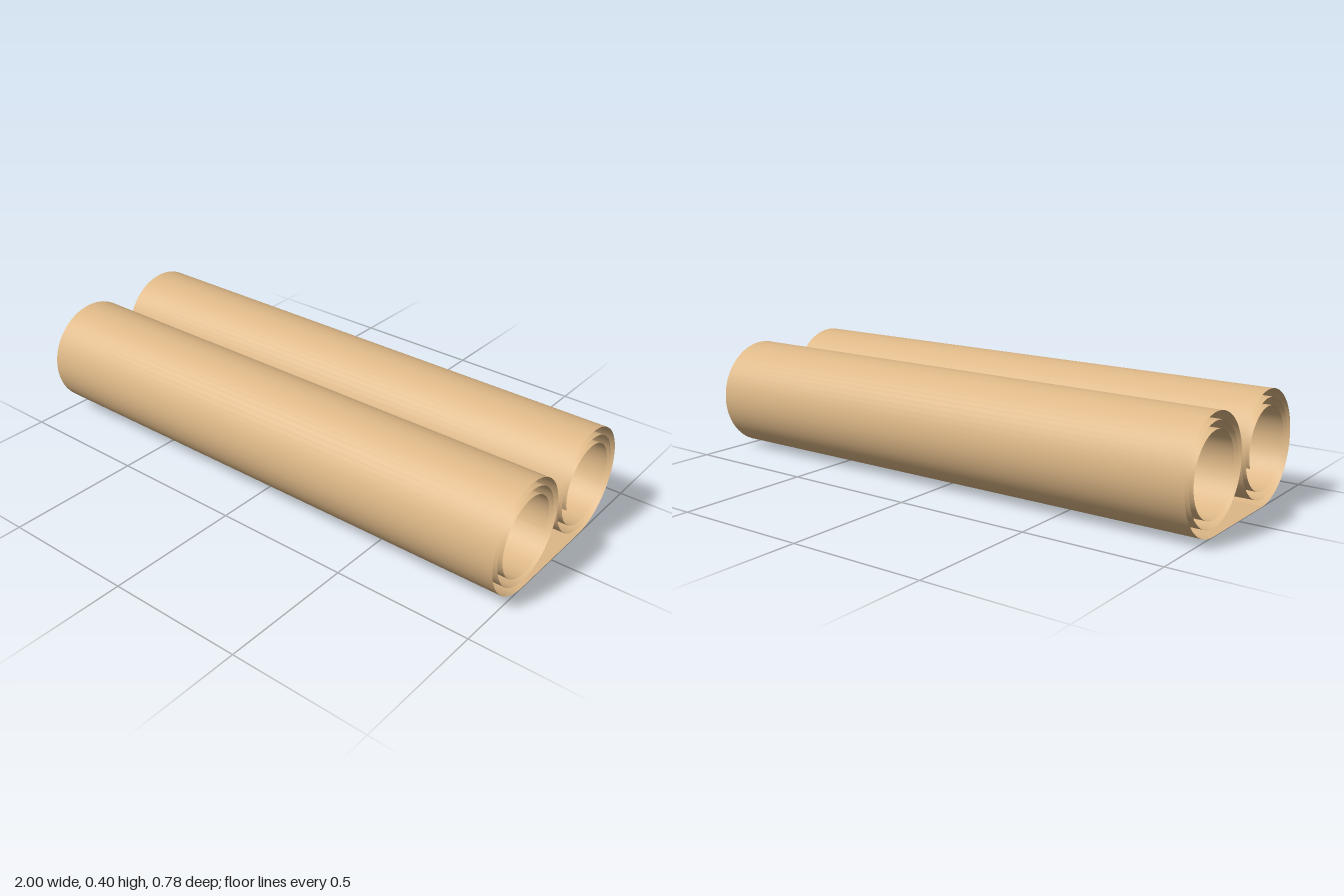
import * as THREE from 'three';

const LENGTH = 2;        // along x
const CENTRE_Z = 0.1885; // roll axis
const RADIUS = 0.2085;   // outermost radius, also the axis height
const PITCH = 0.0283;    // radius lost per turn
const TURNS = 2.813;
const SEGMENTS = 180;

// Thin sheet swept along x; profile(t) gives [z, y] for t from 0 to 1
function sheet(name, segments, material, profile) {
  const geometry = new THREE.PlaneGeometry(LENGTH, 1, 1, segments);
  const position = geometry.attributes.position;
  for (let i = 0; i <= segments; i++) {
    const [z, y] = profile(i / segments);
    position.setXYZ(i * 2, LENGTH / 2, y, z);
    position.setXYZ(i * 2 + 1, -LENGTH / 2, y, z);
  }
  geometry.computeVertexNormals();
  const mesh = new THREE.Mesh(geometry, material);
  mesh.name = name;
  return mesh;
}

// Spiral that starts at the bottom, runs outwards, then winds inwards
function spiral(t) {
  const angle = t * TURNS * Math.PI * 2;
  const r = RADIUS - PITCH * t * TURNS;
  return [CENTRE_Z + r * Math.sin(angle), RADIUS - r * Math.cos(angle)];
}

export function createModel() {
  const group = new THREE.Group();
  group.name = 'scroll';
  const parchment = new THREE.MeshStandardMaterial({ color: 0xdeb887, side: THREE.DoubleSide });
  parchment.name = 'parchment';

  // Flat strip joining the two rolls
  group.add(sheet('flatStrip', 1, parchment, (t) => [CENTRE_Z * (2 * t - 1), 0]));

  // Two opposite rolls
  const frontRoll = sheet('frontRoll', SEGMENTS, parchment, spiral);
  const backRoll = frontRoll.clone();
  backRoll.name = 'backRoll';
  backRoll.rotation.y = Math.PI;
  group.add(frontRoll, backRoll);
  return group;
}
